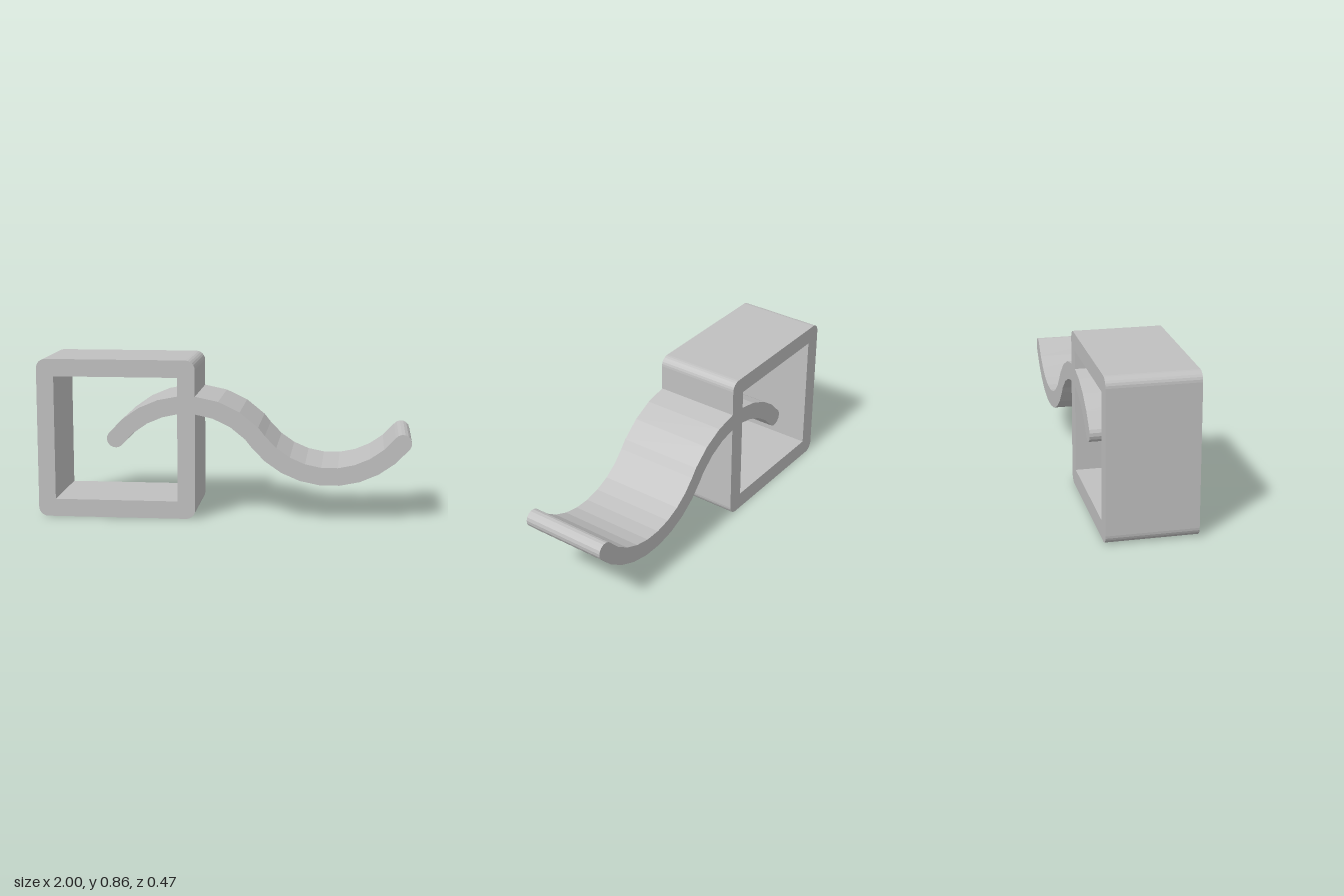
import * as THREE from 'three';

const DEPTH = 0.475;
const HALF = 0.0475;   // half thickness of the strip
const R = 0.485;       // centre-line radius of both bends
const CREST = { x: -0.19, y: 0.135 };   // centre of the upper bend
const TROUGH = { x: 0.573, y: 0.73 };   // centre of the lower bend

function createModel() {
  const model = new THREE.Group();
  const grey = new THREE.MeshStandardMaterial({ color: 0xc0c0c0, flatShading: true });
  grey.name = 'grey';

  function addPlate(name, shape, curveSegments = 3) {
    const geometry = new THREE.ExtrudeGeometry(shape, { depth: DEPTH, bevelEnabled: false, curveSegments });
    geometry.translate(0, 0, -DEPTH / 2);
    const mesh = new THREE.Mesh(geometry, grey);
    mesh.name = name;
    model.add(mesh);
  }

  // Square frame with rounded outer corners and a sharp square opening
  const x0 = -1, x1 = -0.145, y1 = 0.858, r = 0.05;
  const frame = new THREE.Shape();
  frame.absarc(x1 - r, r, r, -Math.PI / 2, 0);
  frame.absarc(x1 - r, y1 - r, r, 0, Math.PI / 2);
  frame.absarc(x0 + r, y1 - r, r, Math.PI / 2, Math.PI);
  frame.absarc(x0 + r, r, r, Math.PI, Math.PI * 1.5);
  frame.closePath();
  const inner = [[-0.907, 0.095], [-0.907, 0.765], [-0.24, 0.765], [-0.24, 0.095]];
  frame.holes.push(new THREE.Path(inner.map(p => new THREE.Vector2(...p))));
  addPlate('squareFrame', frame);

  // Point on a bend: angle from its crest or trough, offset measured upwards
  const onBend = (centre, up, deg, offset) => {
    const a = THREE.MathUtils.degToRad(deg);
    const radius = R + up * offset;
    return new THREE.Vector2(centre.x + radius * Math.sin(a), centre.y + up * radius * Math.cos(a));
  };
  // Point where a side of the upper bend meets the frame wall
  const onWall = (x, offset) => new THREE.Vector2(
    x, CREST.y + Math.sqrt((R + offset) ** 2 - (x - CREST.x) ** 2));

  // Strip outline from its wall end along the bends to a round tip
  function addStrip(name, wallX, stations) {
    const side = offset => [onWall(wallX, offset), ...stations.map(s => onBend(...s, offset))];
    const top = side(HALF), bottom = side(-HALF);
    const a = top[top.length - 1], b = bottom[bottom.length - 1];
    const centre = a.clone().add(b).multiplyScalar(0.5);
    const turn = wallX < CREST.x ? 1 : -1;
    const cap = [];
    for (let i = 1; i < 8; i++) cap.push(a.clone().rotateAround(centre, turn * Math.PI * i / 8));
    addPlate(name, new THREE.Shape([...top, ...cap, ...bottom.reverse()]));
  }

  // Short hook inside the frame
  addStrip('innerHook', -0.24, [-17, -29, -41, -52.2].map(d => [CREST, 1, d]));

  // Long wavy arm outside the frame
  const arm = [18.5, 32.2, 45.9].map(d => [CREST, 1, d]);
  for (let i = 0; i <= 9; i++) arm.push([TROUGH, -1, -52.1 + i * 104.2 / 9]);
  addStrip('wavyArm', -0.145, arm);

  return model;
}

export { createModel };
